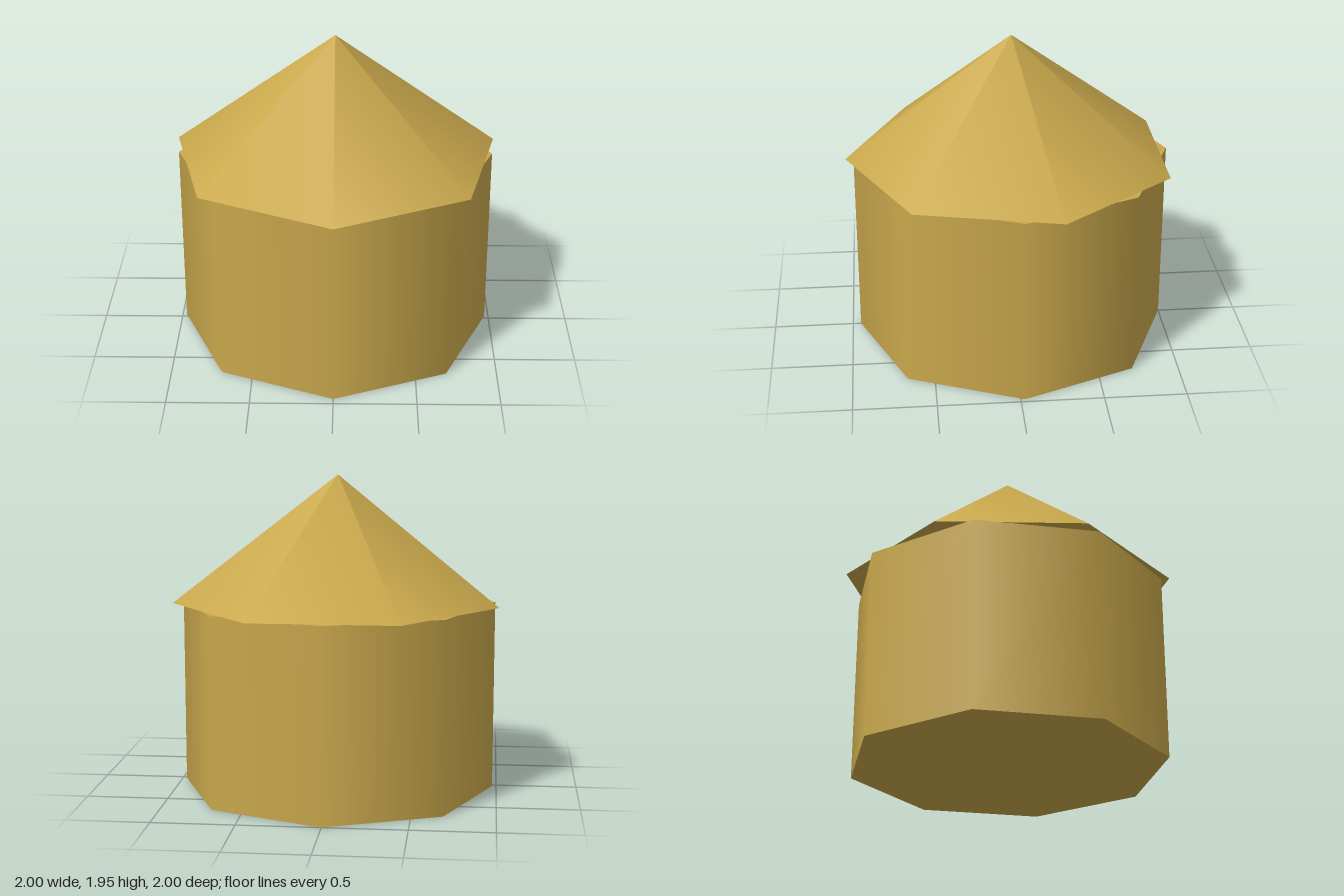
import * as THREE from 'three';

const CENTRE_Z = -0.025;
const WALL_HEIGHT = 1.172;
const ROOF_HEIGHT = 0.78;

export function createModel() {
  const group = new THREE.Group();
  group.name = 'roundHut';

  const gold = new THREE.MeshStandardMaterial({ color: 0xc9a84c });
  gold.name = 'gold';

  // Eight-sided drum with smooth walls and closed ends
  const wall = new THREE.Mesh(new THREE.CylinderGeometry(0.975, 0.975, WALL_HEIGHT, 8), gold);
  wall.name = 'wall';
  wall.position.set(0, WALL_HEIGHT / 2, CENTRE_Z);

  // Seven-sided conical roof, one corner pointing forward
  const roof = new THREE.Mesh(new THREE.ConeGeometry(1.025, ROOF_HEIGHT, 7), gold);
  roof.name = 'roof';
  roof.position.set(0, WALL_HEIGHT + ROOF_HEIGHT / 2, CENTRE_Z);

  group.add(wall, roof);
  return group;
}
